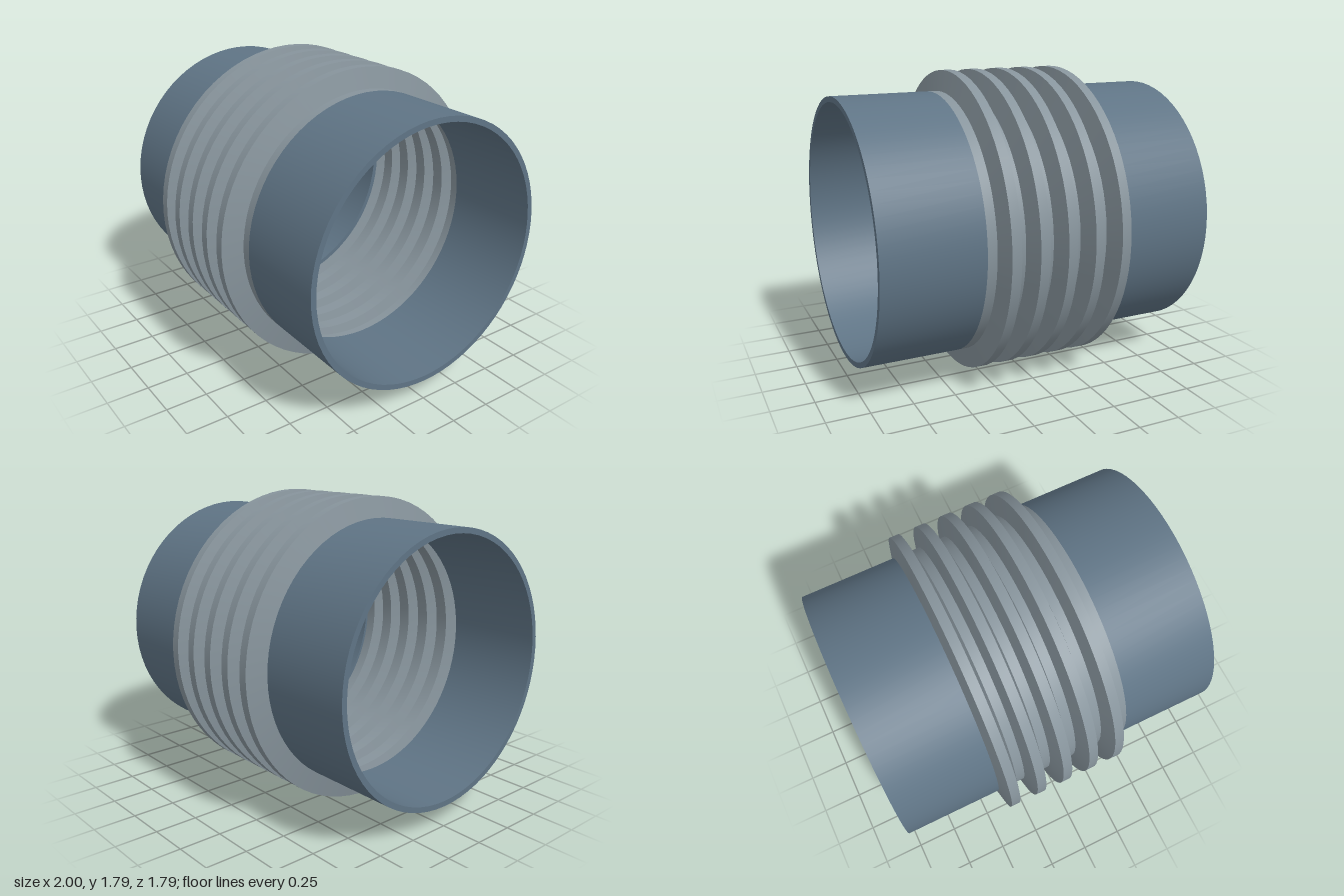
import * as THREE from 'three';
import { toCreasedNormals } from 'three/addons/utils/BufferGeometryUtils.js';

const OUTER = 0.897;      // crest radius, also the height of the axis
const PIPE = 0.777;       // pipe outer radius
const BORE = 0.745;       // pipe inner radius
const HALF = 0.417;       // half length of the bellows
const FOLDS = 5;
const WALL = 0.015;       // bellows wall

// Revolve a closed [x, radius] profile around the x axis
function revolve(name, profile, material) {
  const points = profile.map(([x, r]) => new THREE.Vector2(r, x));
  points.push(points[0].clone());
  const geometry = toCreasedNormals(new THREE.LatheGeometry(points, 72), 0.6);
  geometry.rotateZ(-Math.PI / 2);
  const mesh = new THREE.Mesh(geometry, material);
  mesh.name = name;
  return mesh;
}

// Zigzag of flat-topped folds, running along +x
function foldProfile(low, high, inset) {
  const pitch = (2 * HALF) / FOLDS;
  const profile = [];
  for (let i = 0; i < FOLDS; i++) {
    const x = -HALF + i * pitch;
    profile.push(
      [x + inset, low],
      [x + pitch / 6 + inset, high],
      [x + pitch / 2 - inset, high],
      [x + pitch * 2 / 3 - inset, low],
    );
  }
  profile.push([HALF, low]);
  return profile;
}

export function createModel() {
  const pipeMaterial = new THREE.MeshStandardMaterial({ color: 0x5f7485, side: THREE.DoubleSide });
  const bellowsMaterial = new THREE.MeshStandardMaterial({ color: 0x87949c, side: THREE.DoubleSide });

  const model = new THREE.Group();
  model.name = 'expansionJoint';

  // Plain pipe stubs at both ends
  for (const [name, a, b] of [['rightPipe', -1, -HALF], ['leftPipe', HALF, 1]]) {
    model.add(revolve(name, [[a, PIPE], [b, PIPE], [b, BORE], [a, BORE]], pipeMaterial));
  }

  // Thin corrugated bellows between them
  const outside = foldProfile(PIPE, OUTER, 0);
  const inside = foldProfile(PIPE - WALL, OUTER - WALL, WALL * 0.8).reverse();
  model.add(revolve('bellows', [...outside, ...inside], bellowsMaterial));

  model.position.y = OUTER;
  const root = new THREE.Group();
  root.add(model);
  return root;
}
